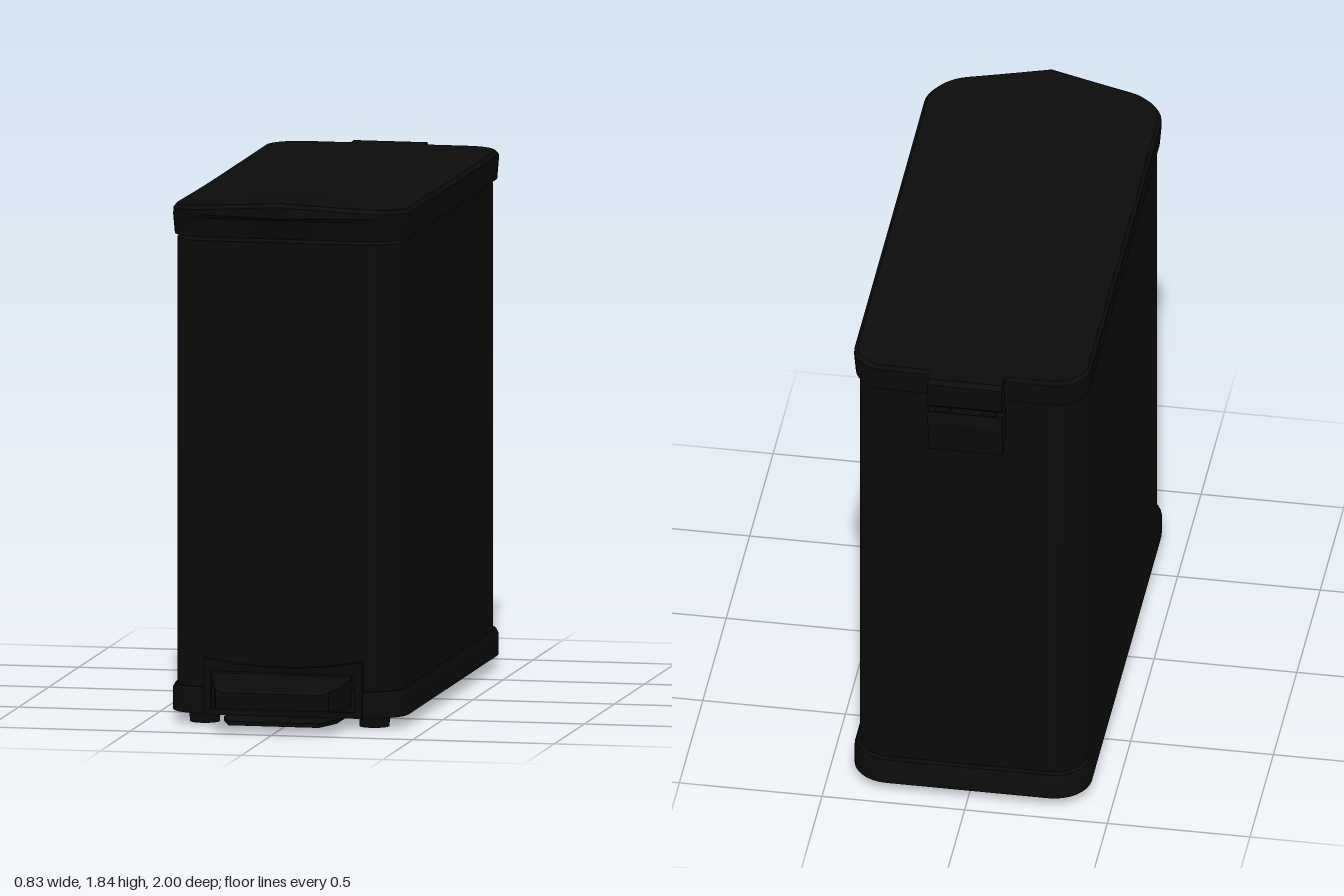
import * as THREE from 'three';
import { toCreasedNormals } from 'three/addons/utils/BufferGeometryUtils.js';

const black = new THREE.MeshStandardMaterial({ color: 0x0b0b0b });

// Rounded rectangle in plan, counter-clockwise from above; bow pushes the front out to a soft point
function outline(hx, zb, zf, r, bow = 0) {
  const corners = [];
  const centres = [[hx - r, zf - r, -1], [hx - r, zb + r, 0], [-hx + r, zb + r, 1], [-hx + r, zf - r, 2]];
  for (const [cx, cz, q] of centres)
    for (let i = 0; i <= 8; i++) {
      const a = (q + i / 8) * Math.PI / 2;
      corners.push([cx + r * Math.cos(a), cz - r * Math.sin(a)]);
    }
  const pts = [];
  corners.forEach(([x, z], i) => {
    const [nx, nz] = corners[(i + 1) % corners.length];
    const steps = i % 9 === 8 ? 10 : 1;
    for (let k = 0; k < steps; k++) {
      const px = x + (nx - x) * k / steps, pz = z + (nz - z) * k / steps;
      pts.push([px, pz + (pz > zf - r ? bow * (1 - Math.abs(px) / hx) : 0)]);
    }
  });
  return pts;
}

// Surface through a list of rings, each a list of [x, y, z]
function loft(rings) {
  const n = rings[0].length, index = [];
  for (let i = 0; i < rings.length - 1; i++)
    for (let j = 0; j < n; j++) {
      const a = i * n + j, b = i * n + (j + 1) % n;
      index.push(a, b, b + n, a, b + n, a + n);
    }
  const g = new THREE.BufferGeometry();
  g.setAttribute('position', new THREE.Float32BufferAttribute(rings.flat(2), 3));
  g.setIndex(index);
  return toCreasedNormals(g, 0.6);
}

const level = (pts, y) => pts.map(([x, z]) => [x, y, z]);
const shrink = (pts, s, zc = -0.07) => pts.map(([x, z]) => [x * s, zc + (z - zc) * s]);

// Extrude a polygon along z from z0 by depth
function slab(points, z0, depth, hole) {
  const s = new THREE.Shape(points.map(p => new THREE.Vector2(...p)));
  if (hole) s.holes.push(new THREE.Path(hole.map(p => new THREE.Vector2(...p))));
  return new THREE.ExtrudeGeometry(s, { depth, bevelEnabled: false }).translate(0, 0, z0);
}

export function createModel() {
  const model = new THREE.Group();
  const add = (name, geometry, x = 0, y = 0, z = 0) => {
    const m = new THREE.Mesh(geometry, black);
    m.name = name;
    m.position.set(x, y, z);
    model.add(m);
    return m;
  };
  const box = (name, w, h, d, x, y, z) => add(name, new THREE.BoxGeometry(w, h, d), x, y, z);

  // Tall body with a closed top
  const wall = outline(0.4, -0.91, 0.785, 0.12);
  add('body', loft([level(wall, 0.1), level(wall, 1.69), level(shrink(wall, 0), 1.69)]));

  // Base tray, hollow underneath
  const inner = outline(0.39, -0.915, 0.77, 0.11);
  const rim = outline(0.415, -0.94, 0.8, 0.13);
  const rimTop = outline(0.408, -0.933, 0.793, 0.125);
  add('base', loft([
    level(shrink(inner, 0), 0.085), level(inner, 0.085), level(inner, 0.04),
    level(rim, 0.04), level(rim, 0.118), level(rimTop, 0.132), level(wall, 0.132),
  ]));

  // Ribs under the base
  for (const x of [-0.2, 0, 0.2]) box('longRib', 0.012, 0.04, 1.68, x, 0.067, -0.07);
  for (let i = 0; i < 6; i++) box('crossRib', 0.78, 0.04, 0.012, 0, 0.067, -0.77 + i * 0.28);

  // Feet
  for (const x of [-0.3, 0.3])
    for (const z of [-0.82, 0.695])
      add('foot', new THREE.CylinderGeometry(0.055, 0.052, 0.085, 24), x, 0.0425, z);

  // Lid: skirt, overhanging pointed lip and gently rising top
  const rise = (x, z) => {
    const t = THREE.MathUtils.clamp((z + 0.1) / 0.97, 0, 1);
    return 1.8 + t * t * (0.01 + 0.03 * (1 - Math.abs(x) / 0.415));
  };
  const onTop = (pts, drop = 0) => pts.map(([x, z]) => [x, rise(x, z) - drop, z]);
  const edge = outline(0.415, -0.94, 0.785, 0.12, 0.087);
  const topEdge = outline(0.403, -0.93, 0.775, 0.115, 0.085);
  const skirt = outline(0.41, -0.935, 0.785, 0.12);
  const lidRings = [
    level(shrink(skirt, 0), 1.702), level(skirt, 1.702),
    level(outline(0.415, -0.94, 0.79, 0.12, 0.02), 1.77), level(edge, 1.785),
    onTop(edge, 0.014), onTop(topEdge),
  ];
  for (let i = 11; i >= 0; i--) lidRings.push(onTop(shrink(topEdge, i / 12)));
  add('lid', loft(lidRings));

  // Hinge: cover on the lid and bracket on the body, profiles drawn in side view
  const sideSlab = (profile, width) => slab(profile, -width / 2, width).rotateY(-Math.PI / 2);
  add('hingeCover', sideSlab([
    [-0.92, 1.705], [-0.92, 1.8], [-0.985, 1.8], [-1, 1.785], [-1, 1.7], [-0.985, 1.685], [-0.955, 1.69],
  ], 0.26));
  add('hingeBracket', sideSlab([
    [-0.9, 1.53], [-0.9, 1.66], [-0.965, 1.655], [-0.995, 1.67], [-0.998, 1.62], [-0.978, 1.5], [-0.955, 1.515],
  ], 0.26));
  for (const x of [-0.08, 0.08]) box('hingeKnuckle', 0.05, 0.06, 0.03, x, 1.68, -0.965);

  // Pedal surround with a dipped upper edge
  const surround = [[-0.28, 0.04], [0.28, 0.04]];
  for (let i = 0; i <= 16; i++) {
    const x = 0.28 - i * 0.035;
    surround.push([x, 0.21 + 0.028 * (x / 0.28) ** 2]);
  }
  add('pedalSurround', slab(surround, 0.77, 0.045,
    [[-0.255, 0.06], [-0.255, 0.192], [0.255, 0.192], [0.255, 0.06]]));

  // Pedal, thinning toward its tip
  const plan = [[-0.24, 0.78], [-0.24, 0.84], [-0.21, 0.965], [-0.2, 0.988], [-0.175, 1],
    [0.175, 1], [0.2, 0.988], [0.21, 0.965], [0.24, 0.84], [0.24, 0.78]];
  const pedal = slab(plan, 0, 1).rotateX(Math.PI / 2);
  const p = pedal.attributes.position;
  for (let i = 0; i < p.count; i++) {
    const t = (p.getZ(i) - 0.78) / 0.22;
    p.setY(i, p.getY(i) > -0.5 ? 0.182 - 0.03 * t - (t > 0.98 ? 0.008 : 0) : 0.075 + 0.012 * t);
  }
  pedal.computeVertexNormals();
  add('pedal', pedal);

  // Thin floor plate below the pedal
  const plate = [[-0.2, 0.72], [-0.2, 0.85], [-0.16, 0.965], [0.16, 0.965], [0.2, 0.85], [0.2, 0.72]];
  add('floorPlate', slab(plate, 0, 0.014).rotateX(Math.PI / 2), 0, 0.04, 0);

  return model;
}
